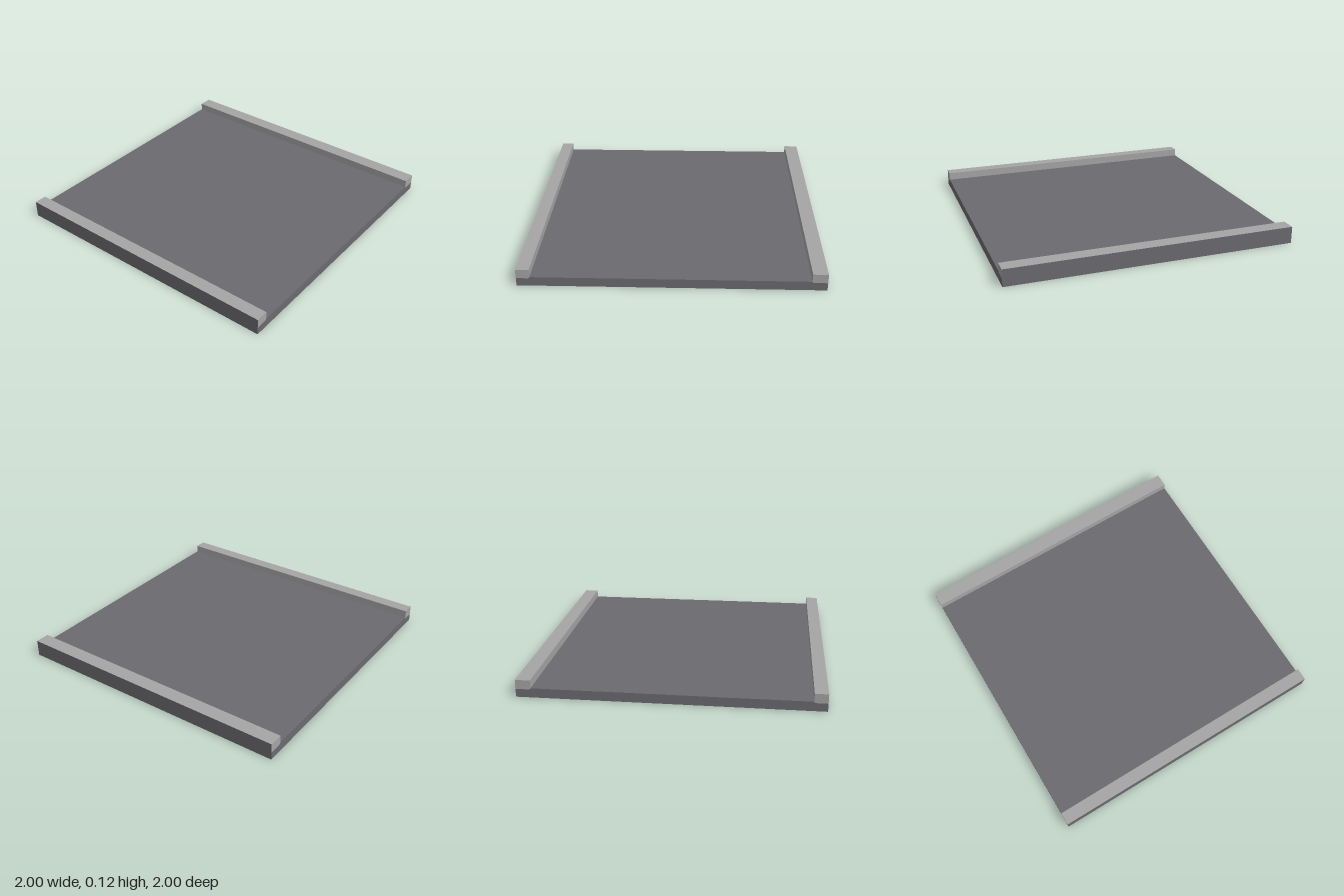
import * as THREE from 'three';

const asphalt = new THREE.MeshStandardMaterial({ color: 0x6b6a6f });
asphalt.name = 'asphalt';
const concrete = new THREE.MeshStandardMaterial({ color: 0xa6a5a5 });
concrete.name = 'concrete';

const H = 0.118, ROAD = 0.064, SEAT = 0.055;
const LEFT = 0.9, RIGHT = 0.912; // inner edges of the two kerbs

// Extrude an x/y outline along the full length of the tile
function prism(points) {
  const shape = new THREE.Shape(points.map(([x, y]) => new THREE.Vector2(x, y)));
  const geometry = new THREE.ExtrudeGeometry(shape, { depth: 2, bevelEnabled: false });
  geometry.translate(0, 0, -1);
  return geometry;
}

// Kerb with a chamfered foot; its outer face takes the road colour
function makeKerb(side, inner) {
  const outline = [[1, SEAT], [1, H], [inner, H], [inner, ROAD - 0.003], [inner + 0.008, SEAT]];
  const geometry = prism(outline.map(([x, y]) => [x * side, y]));
  const normal = geometry.attributes.normal;
  geometry.clearGroups();
  for (let i = 0; i < normal.count; i += 3) {
    geometry.addGroup(i, 3, normal.getX(i) * side > 0.9 ? 1 : 0);
  }
  const kerb = new THREE.Mesh(geometry, [concrete, asphalt]);
  kerb.name = side > 0 ? 'leftKerb' : 'rightKerb';
  return kerb;
}

export function createModel() {
  const group = new THREE.Group();
  group.name = 'roadTile';

  // Road slab, notched along both sides to seat the kerbs
  const slab = new THREE.Mesh(prism([
    [-1, 0], [1, 0],
    [1, SEAT], [LEFT + 0.008, SEAT], [LEFT, ROAD - 0.003], [LEFT, ROAD],
    [-RIGHT, ROAD], [-RIGHT, ROAD - 0.003], [-RIGHT - 0.008, SEAT], [-1, SEAT],
  ]), asphalt);
  slab.name = 'roadSlab';

  group.add(slab, makeKerb(1, LEFT), makeKerb(-1, RIGHT));
  return group;
}
